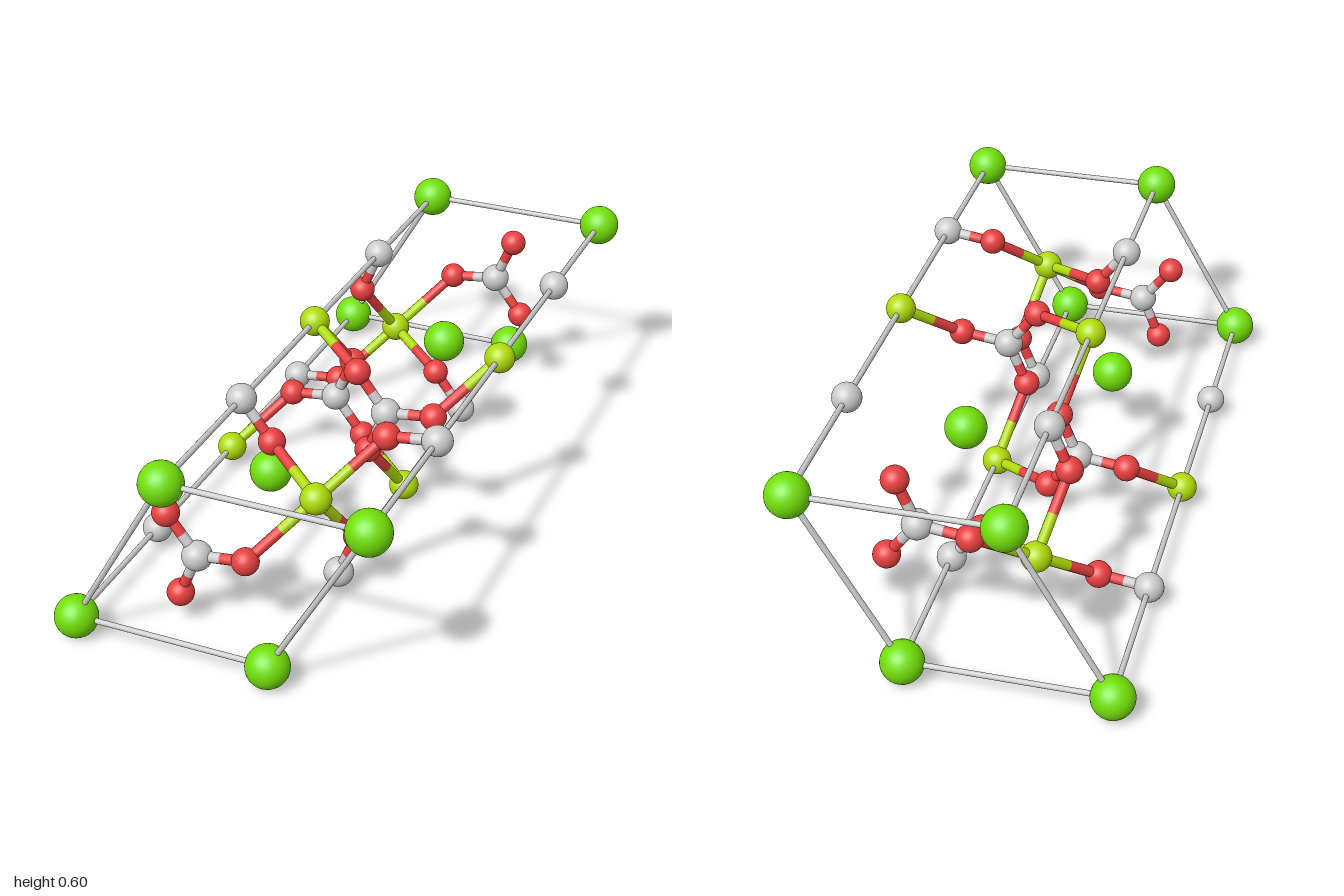
import * as THREE from 'three';

// Hexagonal cell: side A, depth 2 * HZ, lower edge at height Y0
const A = 0.561, HZ = 0.94, Y0 = 0.06;
const H = A * Math.sqrt(3) / 2;
const V = (x, y, z) => new THREE.Vector3(x, y, z);

const paint = (color) => new THREE.MeshStandardMaterial({ color });
const KINDS = {
  calcium: { r: 0.06, mat: paint(0x73e00a) },
  magnesium: { r: 0.043, mat: paint(0xb0dc08) },
  carbon: { r: 0.042, mat: paint(0xcccccc) },
  oxygen: { r: 0.038, mat: paint(0xe84040) },
};
for (const k of Object.values(KINDS)) k.geo = new THREE.IcosahedronGeometry(k.r, 4);
const ROD = new THREE.CylinderGeometry(1, 1, 1, 12);

function addRod(group, name, a, b, radius, material) {
  const rod = new THREE.Mesh(ROD, material);
  const dir = b.clone().sub(a);
  rod.name = name;
  rod.scale.set(radius, dir.length(), radius);
  rod.position.copy(a).add(b).multiplyScalar(0.5);
  rod.quaternion.setFromUnitVectors(V(0, 1, 0), dir.normalize());
  group.add(rod);
}

export function createModel() {
  const model = new THREE.Group();
  const groups = {};
  for (const name of ['atoms', 'bonds', 'cellFrame']) {
    groups[name] = new THREE.Group();
    groups[name].name = name;
    model.add(groups[name]);
  }

  const atoms = { calcium: [], magnesium: [], carbon: [], oxygen: [] };
  const addAtom = (kind, p) => {
    const ball = new THREE.Mesh(KINDS[kind].geo, KINDS[kind].mat);
    ball.name = kind + 'Atom';
    ball.position.copy(p);
    groups.atoms.add(ball);
    atoms[kind].push(p);
  };

  // Corner columns in order around the rhombus, and two inner columns
  const corners = [[-0.75 * A, Y0], [0.25 * A, Y0], [0.75 * A, Y0 + H], [-0.25 * A, Y0 + H]];
  const low = [-0.25 * A, Y0 + H / 3], high = [0.25 * A, Y0 + 2 * H / 3];

  // Metal atoms
  for (const [x, y] of corners) {
    addAtom('calcium', V(x, y, HZ));
    addAtom('calcium', V(x, y, -HZ));
    addAtom('magnesium', V(x, y, 0));
  }
  addAtom('calcium', V(...low, HZ / 3));
  addAtom('calcium', V(...high, -HZ / 3));
  addAtom('magnesium', V(...high, 2 * HZ / 3));
  addAtom('magnesium', V(...low, -2 * HZ / 3));

  // A point is inside the cell when both skew coordinates lie in 0..1
  const inside = (x, y) => {
    const v = (y - Y0) / H, u = (x + 0.75 * A) / A - v / 2;
    return u > 0 && u < 1 && v > 0 && v < 1;
  };

  // Flat carbonate triangles; alternate layers are turned half way round
  const addCarbonate = ([x, y], z, turn) => {
    addAtom('carbon', V(x, y, z));
    for (let i = 0; i < 3; i++) {
      const t = THREE.MathUtils.degToRad(7.5 + turn + 120 * i);
      const ox = x + 0.143 * Math.cos(t), oy = y + 0.143 * Math.sin(t);
      if (inside(ox, oy)) addAtom('oxygen', V(ox, oy, z));
    }
  };
  const dz = 0.145, layer = 2 * HZ / 3;
  addCarbonate(low, layer + dz, 0);
  addCarbonate(high, dz, 0);
  addCarbonate(low, -dz, 180);
  addCarbonate(high, -layer - dz, 180);
  for (const c of corners) {
    addCarbonate(c, layer - dz, 180);
    addCarbonate(c, dz - layer, 0);
  }

  // Two-tone bonds from each oxygen to its near neighbours
  for (const [kind, reach] of [['carbon', 0.17], ['magnesium', 0.265]]) {
    for (const p of atoms[kind]) {
      for (const o of atoms.oxygen) {
        if (p.distanceTo(o) > reach) continue;
        const mid = p.clone().lerp(o, 0.5);
        addRod(groups.bonds, kind + 'BondHalf', p, mid, 0.015, KINDS[kind].mat);
        addRod(groups.bonds, 'oxygenBondHalf', mid, o, 0.015, KINDS.oxygen.mat);
      }
    }
  }

  // Twelve cell edges
  corners.forEach((c, i) => {
    const next = corners[(i + 1) % 4];
    for (const z of [HZ, -HZ]) addRod(groups.cellFrame, 'cellEdge', V(...c, z), V(...next, z), 0.008, KINDS.carbon.mat);
    addRod(groups.cellFrame, 'longCellEdge', V(...c, HZ), V(...c, -HZ), 0.008, KINDS.carbon.mat);
  });

  return model;
}
